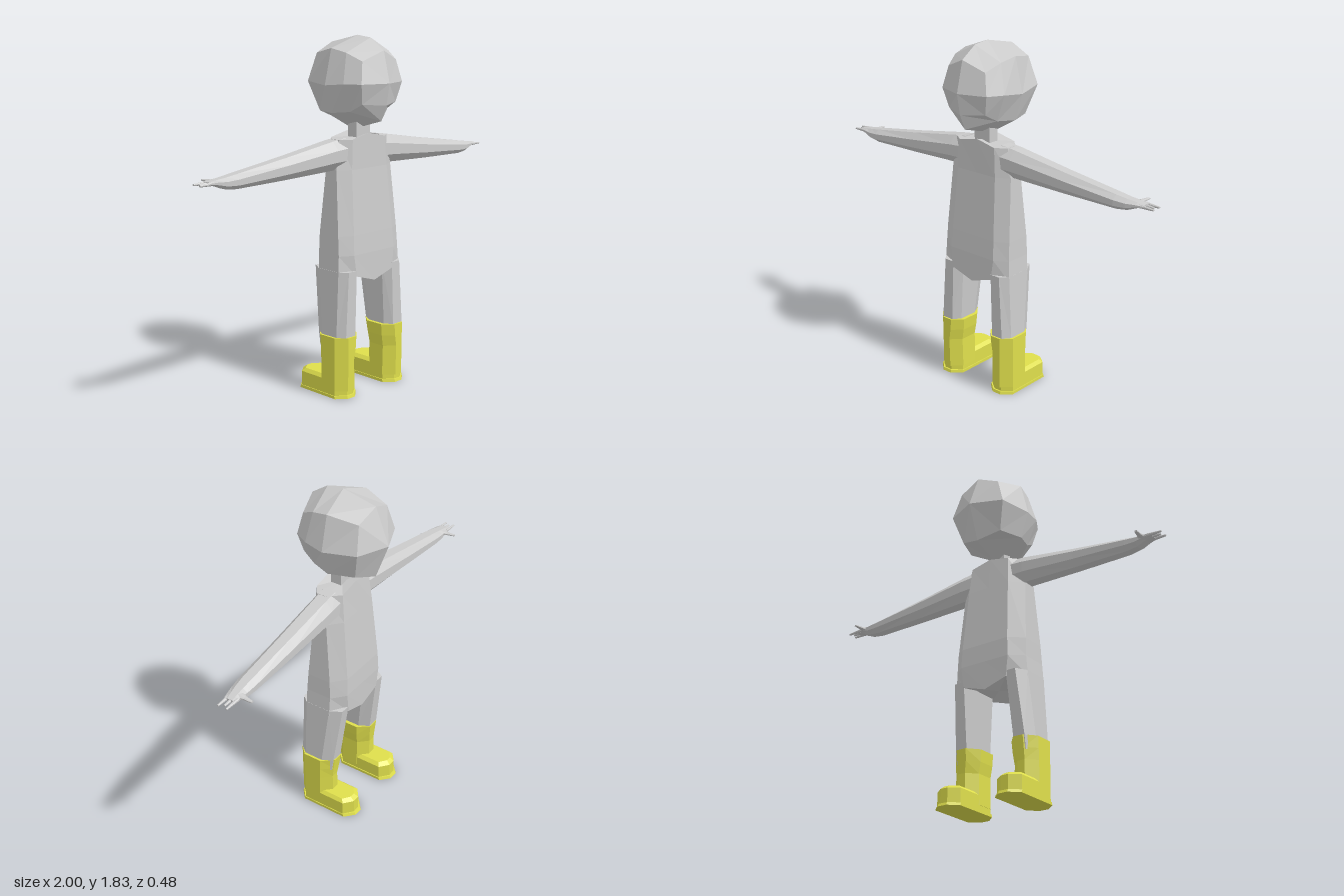
import * as THREE from 'three';

const grey = new THREE.MeshStandardMaterial({ color: 0xcccccc, flatShading: true });
const yellow = new THREE.MeshStandardMaterial({ color: 0xdede4c, flatShading: true });

// Skin a closed surface over rings of [x, y, z] points; ends close on the given or averaged pole
function loft(rings, startPole, endPole) {
  const n = rings[0].length;
  const mean = r => [0, 1, 2].map(k => r.reduce((s, p) => s + p[k], 0) / n);
  const pts = rings.flat();
  const a = pts.push(startPole || mean(rings[0])) - 1;
  const b = pts.push(endPole || mean(rings[rings.length - 1])) - 1;
  const last = (rings.length - 1) * n;
  const idx = [];
  for (let j = 0; j < n; j++) {
    const k = (j + 1) % n;
    idx.push(a, k, j, b, last + j, last + k);
    for (let i = 0; i < last; i += n) {
      idx.push(i + j, i + k, i + n + k, i + j, i + n + k, i + n + j);
    }
  }
  // Turn the faces outward if the enclosed volume comes out negative
  const v = pts.map(p => new THREE.Vector3(...p));
  let volume = 0;
  for (let i = 0; i < idx.length; i += 3) {
    volume += v[idx[i]].dot(v[idx[i + 1]].clone().cross(v[idx[i + 2]]));
  }
  if (volume < 0) idx.reverse();
  const g = new THREE.BufferGeometry();
  g.setAttribute('position', new THREE.Float32BufferAttribute(pts.flat(), 3));
  g.setIndex(idx);
  const flat = g.toNonIndexed();
  flat.computeVertexNormals();
  return flat;
}

// Chamfered rectangle: spans u0..u1 and v0..v1, with own chamfers at the low and high v side
function octagon(u0, u1, v0, v1, cu, cLow, cHigh = cLow) {
  return [
    [u0 + cu, v0], [u1 - cu, v0], [u1, v0 + cLow], [u1, v1 - cHigh],
    [u1 - cu, v1], [u0 + cu, v1], [u0, v1 - cHigh], [u0, v0 + cLow],
  ];
}
const level = (y, ...o) => octagon(...o).map(([x, z]) => [x, y, z]);

export function createModel() {
  const model = new THREE.Group();
  const add = (name, geometry, material = grey, parent = model) => {
    const mesh = new THREE.Mesh(geometry, material);
    mesh.name = name;
    parent.add(mesh);
    return mesh;
  };

  // Head: eight-sided rings from back to front, each given by its right half
  const headRing = half => [
    ...half,
    ...half.slice(1, -1).reverse().map(([x, y, z]) => [-x, y, z]),
  ];
  add('head', loft([
    [[0, 1.79, -0.165], [0.12, 1.74, -0.15], [0.165, 1.6, -0.17], [0.12, 1.45, -0.13], [0, 1.41, -0.17]],
    [[0, 1.83, 0.02], [0.165, 1.77, 0], [0.21, 1.59, 0], [0.165, 1.45, 0], [0, 1.355, -0.01]],
    [[0, 1.82, 0.11], [0.15, 1.75, 0.09], [0.19, 1.6, 0.11], [0.135, 1.46, 0.1], [0, 1.41, 0.185]],
    [[0, 1.76, 0.2], [0.12, 1.71, 0.17], [0.145, 1.6, 0.19], [0.12, 1.5, 0.17], [0, 1.49, 0.22]],
  ].map(headRing), [0, 1.6, -0.24], [0, 1.6, 0.24]));

  const neck = add('neck', new THREE.BoxGeometry(0.1, 0.1, 0.06));
  neck.position.set(0, 1.37, 0.03);

  // Torso: [side y, centre y, half width, panel half width, back z, front z]
  const torsoRing = ([y, yc, w, p, zb, zf]) => {
    const side = [[p, y, zb], [w, y, zb + 0.06], [w, y, zf - 0.04], [p, y, zf]];
    return [
      [0, yc, zb], ...side, [0, yc, zf],
      ...side.reverse().map(([x, q, z]) => [-x, q, z]),
    ];
  };
  add('torso', loft([
    [0.63, 0.59, 0.222, 0.13, -0.1, 0.143],
    [0.74, 0.74, 0.215, 0.145, -0.103, 0.14],
    [0.84, 0.84, 0.212, 0.14, -0.1, 0.133],
    [1.17, 1.17, 0.195, 0.125, -0.07, 0.105],
    [1.32, 1.345, 0.17, 0.115, -0.055, 0.1],
  ].map(torsoRing)));

  for (const [side, s] of [['left', 1], ['right', -1]]) {
    const mirror = rings => rings.map(r => r.map(([x, y, z]) => [s * x, y, z]));

    // Leg
    add(side + 'Leg', loft(mirror([
      level(0.25, 0.115, 0.238, -0.045, 0.143, 0.03, 0.05, 0.04),
      level(0.32, 0.112, 0.238, -0.055, 0.144, 0.03, 0.055, 0.04),
      level(0.66, 0.095, 0.221, -0.1, 0.143, 0.035, 0.06, 0.04),
    ])));

    // Boot: shaft, foot and sole
    const boot = new THREE.Group();
    boot.name = side + 'Boot';
    model.add(boot);
    add('shaft', loft(mirror([
      level(0.04, 0.105, 0.25, -0.045, 0.15, 0.05, 0.05),
      level(0.2, 0.108, 0.25, -0.045, 0.152, 0.05, 0.05),
      level(0.26, 0.098, 0.25, -0.052, 0.153, 0.05, 0.055, 0.05),
      level(0.322, 0.093, 0.25, -0.06, 0.153, 0.05, 0.06, 0.05),
    ])), yellow, boot);
    add('foot', loft(mirror([
      level(0.015, 0.107, 0.25, -0.183, 0.14, 0.05, 0.04),
      level(0.09, 0.107, 0.25, -0.183, 0.14, 0.05, 0.04),
      level(0.107, 0.125, 0.235, -0.16, 0.13, 0.04, 0.03),
    ])), yellow, boot);
    add('sole', loft(mirror([
      level(0, 0.102, 0.254, -0.197, 0.152, 0.05, 0.045),
      level(0.015, 0.102, 0.254, -0.19, 0.148, 0.05, 0.045),
    ])), yellow, boot);

    // Arm tapering into the palm: [x, low y, high y, back z, front z]
    const armRing = ([x, y0, y1, z0, z1]) =>
      octagon(z0, z1, y0, y1, (z1 - z0) * 0.27, (y1 - y0) * 0.3).map(([z, y]) => [x, y, z]);
    add(side + 'Arm', loft(mirror([
      [0.12, 1.17, 1.325, -0.05, 0.09],
      [0.2, 1.17, 1.315, -0.052, 0.085],
      [0.5, 1.158, 1.265, -0.05, 0.067],
      [0.8, 1.15, 1.22, -0.05, 0.05],
      [0.86, 1.156, 1.21, -0.048, 0.04],
      [0.91, 1.175, 1.203, -0.046, 0.027],
      [0.945, 1.182, 1.197, -0.045, 0.017],
    ].map(armRing))));

    // Fingers and thumb
    const hand = new THREE.Group();
    hand.name = side + 'Hand';
    model.add(hand);
    [[-0.039, 1.0], [-0.016, 0.985], [0.009, 1.0]].forEach(([z, tip], i) => {
      add('finger' + (i + 1), loft(mirror([
        [0.92, 1.18, 1.198, z - 0.009, z + 0.009],
        [tip, 1.182, 1.191, z - 0.005, z + 0.005],
      ].map(armRing))), grey, hand);
    });
    const thumbRing = (z, x, r) => octagon(x - r, x + r, 1.19 - r * 0.6, 1.19 + r * 0.6, r * 0.5, r * 0.3)
      .map(([u, y]) => [u, y, z]);
    add('thumb', loft(mirror([
      thumbRing(-0.03, 0.89, 0.022),
      thumbRing(-0.06, 0.893, 0.012),
      thumbRing(-0.105, 0.897, 0.007),
    ])), grey, hand);
  }
  return model;
}
